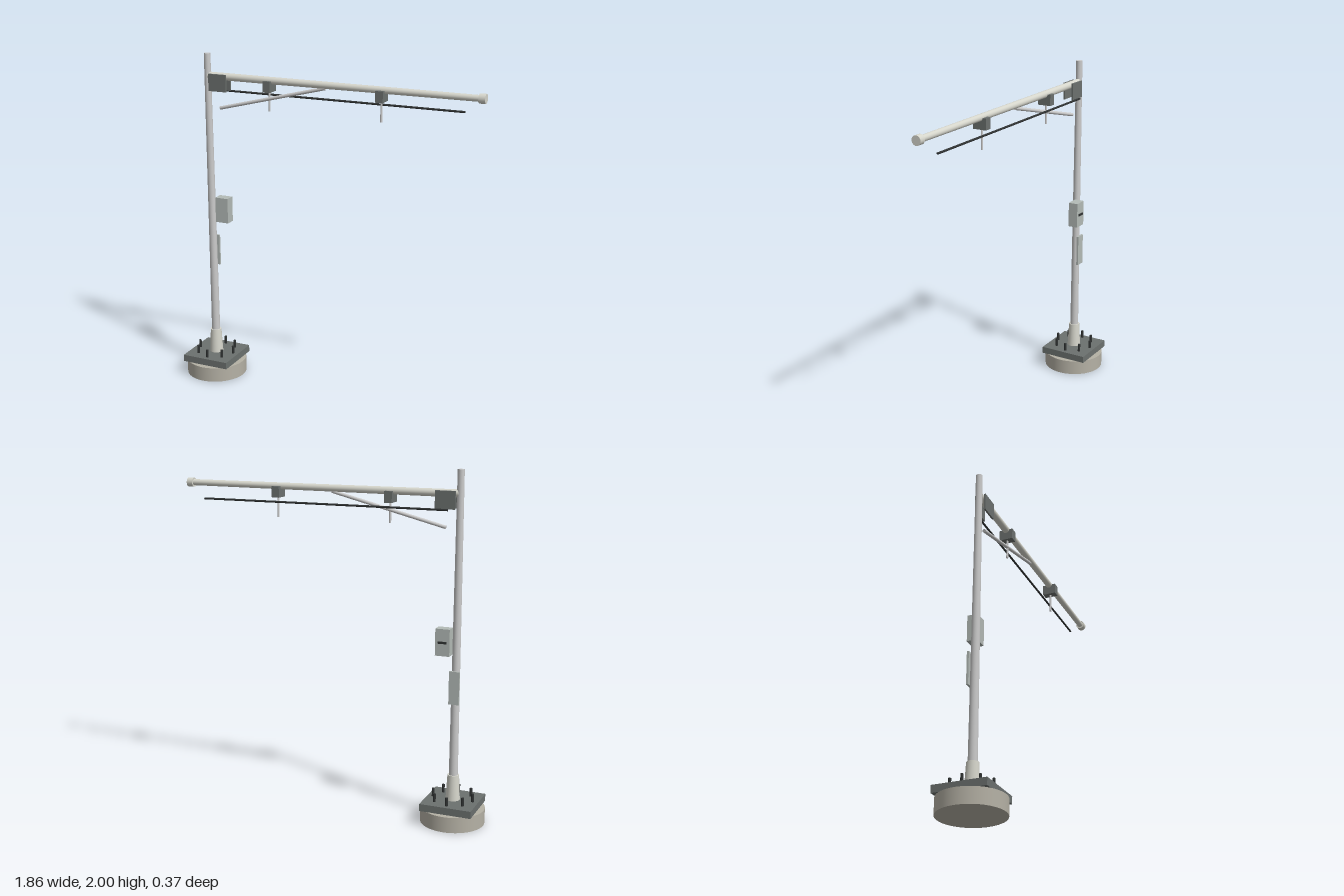
import * as THREE from 'three';

const mat = (color) => new THREE.MeshStandardMaterial({ color });
const POLE_X = -0.748;

export function createModel() {
  const model = new THREE.Group();
  const concrete = mat(0xb5b1a5), darkSteel = mat(0x6c716f), steel = mat(0xc3c7c3);
  const paint = mat(0xd6d6cc), cabinetGrey = mat(0xb4bbb7), black = mat(0x303333);

  function add(name, geometry, material, x, y, z) {
    const mesh = new THREE.Mesh(geometry, material);
    mesh.name = name;
    mesh.position.set(x, y, z);
    model.add(mesh);
    return mesh;
  }
  const box = (name, m, w, h, d, x, y, z) => add(name, new THREE.BoxGeometry(w, h, d), m, x, y, z);

  // Round bar running from point a to point b, with its own radius at each end
  function bar(name, m, a, b, ra, rb = ra, sides = 24) {
    const from = new THREE.Vector3(...a), to = new THREE.Vector3(...b);
    const dir = to.clone().sub(from);
    const mid = from.clone().add(to).multiplyScalar(0.5);
    const mesh = add(name, new THREE.CylinderGeometry(rb, ra, dir.length(), sides), m, mid.x, mid.y, mid.z);
    mesh.quaternion.setFromUnitVectors(new THREE.Vector3(0, 1, 0), dir.normalize());
    return mesh;
  }

  // Footing and base plate
  bar('foundation', concrete, [POLE_X, 0, 0], [POLE_X, 0.09, 0], 0.184, 0.184, 48);
  box('basePlate', darkSteel, 0.3, 0.042, 0.3, POLE_X, 0.111, 0);

  // Ring of anchor bolts
  for (let i = 0; i < 8; i++) {
    const a = (i / 8) * Math.PI * 2;
    const x = POLE_X + 0.117 * Math.cos(a), z = 0.117 * Math.sin(a);
    bar('anchorBolt', black, [x, 0.12, z], [x, 0.18, z], 0.008, 0.008, 10);
  }

  // Tapered mast and its collar
  bar('poleCollar', paint, [POLE_X, 0.13, 0], [POLE_X, 0.28, 0], 0.041, 0.033);
  bar('pole', steel, [POLE_X, 0.13, 0], [POLE_X, 2, 0], 0.026, 0.019);

  // Equipment on the rear of the mast
  box('controlBox', cabinetGrey, 0.083, 0.153, 0.06, -0.684, 1.056, -0.032);
  box('controlBoxHandle', black, 0.05, 0.012, 0.007, -0.684, 1.056, -0.065);
  box('accessPanel', cabinetGrey, 0.06, 0.19, 0.012, POLE_X, 0.795, -0.028);

  // Horizontal arm with end cap
  bar('arm', paint, [-0.74, 1.87, 0], [0.91, 1.87, 0], 0.022, 0.018);
  bar('armEndCap', paint, [0.888, 1.87, 0], [0.925, 1.87, 0], 0.027);

  // Bracket plates either side of the arm root
  for (const side of [-1, 1]) {
    box('bracketPlate', darkSteel, 0.114, 0.1, 0.01, -0.671, 1.835, side * 0.027);
  }

  // Diagonal brace
  bar('brace', steel, [-0.67, 1.684, 0], [0, 1.852, 0], 0.01, 0.01, 16);

  // Clamps under the arm with their hanger rods
  for (const x of [-0.348, 0.337]) {
    box('hangerClamp', darkSteel, 0.045, 0.064, 0.08, x, 1.838, 0);
    bar('hangerRod', steel, [x, 1.692, 0], [x, 1.82, 0], 0.006, 0.006, 12);
  }

  // Cable run along the rear of the arm
  bar('cable', black, [-0.69, 1.782, -0.037], [0.8, 1.782, -0.037], 0.006, 0.006, 10);

  return model;
}
